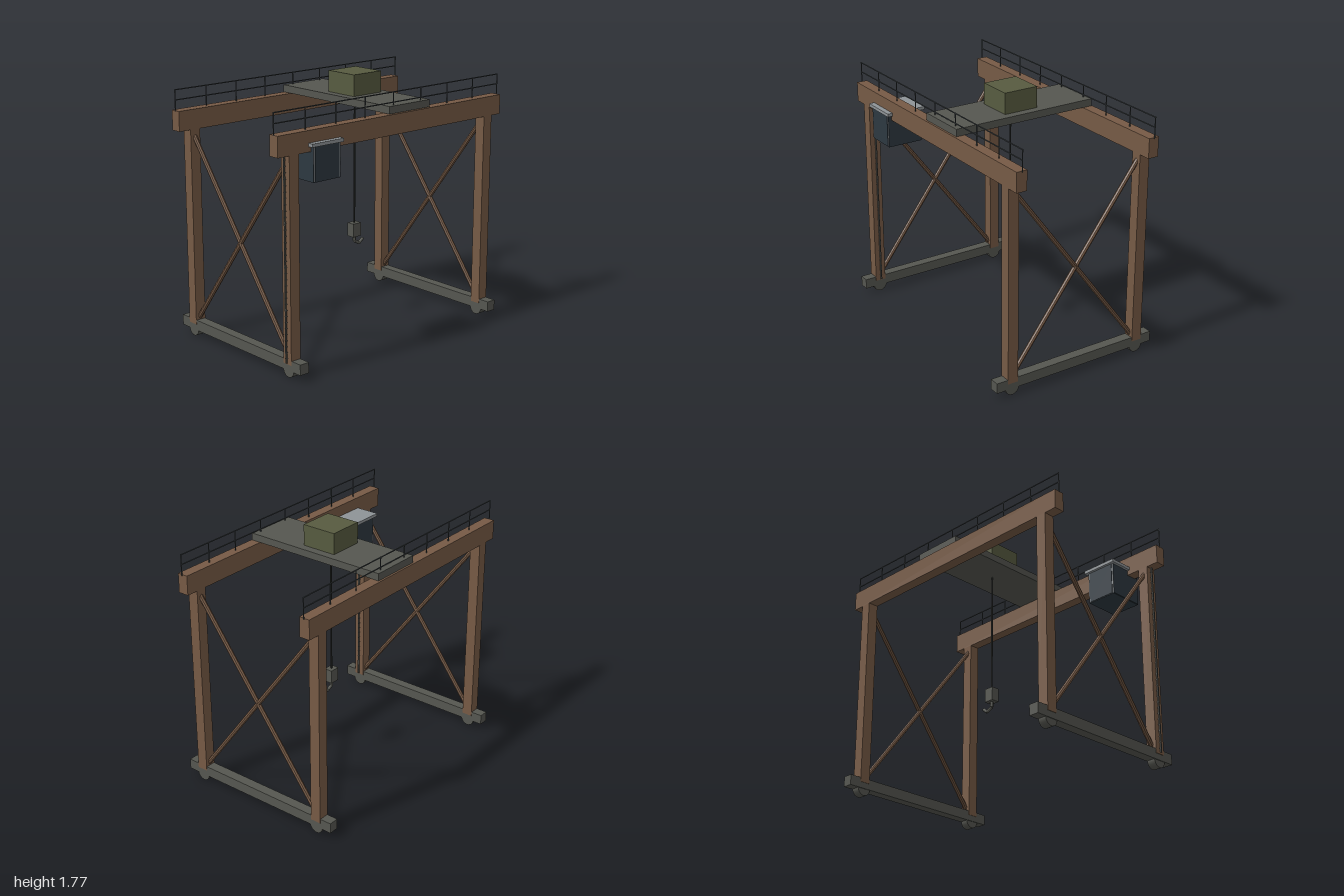
import * as THREE from 'three';

const mat = (name, color, flat = false) => {
  const m = new THREE.MeshStandardMaterial({ color, flatShading: flat });
  m.name = name;
  return m;
};

export function createModel() {
  const crane = new THREE.Group();
  crane.name = 'gantryCrane';

  const brown = mat('brown paint', 0x765a45, true);
  const steel = mat('dark steel', 0x555650);
  const olive = mat('olive housing', 0x575b40);
  const glass = mat('dark glass', 0x2d3840);
  const grey = mat('light grey', 0x8e9396);
  const rail = mat('railing steel', 0x3f4547);
  const rope = mat('rope', 0x2c2f2c);

  const group = (name) => {
    const g = new THREE.Group();
    g.name = name;
    crane.add(g);
    return g;
  };
  const add = (parent, name, geometry, material, x = 0, y = 0, z = 0) => {
    const m = new THREE.Mesh(geometry, material);
    m.name = name;
    m.position.set(x, y, z);
    parent.add(m);
    return m;
  };
  // Box given by its lower and upper limits on each axis
  const box = (parent, name, material, [x0, x1], [y0, y1], [z0, z1]) =>
    add(parent, name, new THREE.BoxGeometry(x1 - x0, y1 - y0, z1 - z0), material,
      (x0 + x1) / 2, (y0 + y1) / 2, (z0 + z1) / 2);
  // Round bar between two points
  const bar = (parent, name, material, a, b, r, sides = 6) => {
    const p = new THREE.Vector3(...a), q = new THREE.Vector3(...b);
    const d = q.clone().sub(p);
    const m = add(parent, name, new THREE.CylinderGeometry(r, r, d.length(), sides), material);
    m.position.copy(p).add(q).multiplyScalar(0.5);
    m.quaternion.setFromUnitVectors(new THREE.Vector3(0, 1, 0), d.normalize());
    return m;
  };

  // Side frames: sill, wheels, legs and cross braces
  for (const x of [-0.87, 0.87]) {
    const frame = group(x > 0 ? 'leftFrame' : 'rightFrame');
    box(frame, 'sill', steel, [x - 0.035, x + 0.035], [0.048, 0.12], [-0.62, 0.62]);
    for (const z of [-0.5, 0.5]) {
      box(frame, 'leg', brown, [x - 0.038, x + 0.038], [0.09, 1.44], [z - 0.038, z + 0.038]);
      const wheel = add(frame, 'wheel', new THREE.CylinderGeometry(0.05, 0.05, 0.06, 20), steel, x, 0.05, z);
      wheel.rotation.z = Math.PI / 2;
      bar(frame, 'brace', brown, [x, 0.1, z], [x, 1.43, -z], 0.016, 8);
    }
  }

  // Girders with a walkway railing on each
  for (const z of [-0.5, 0.5]) {
    const side = group(z > 0 ? 'frontGirder' : 'backGirder');
    box(side, 'girder', brown, [-0.997, 0.991], [1.44, 1.575], [z - 0.038, z + 0.038]);
    for (const y of [1.645, 1.712]) {
      bar(side, 'handrail', rail, [-0.997, y, z], [0.997, y, z], 0.004);
    }
    for (let i = 0; i < 9; i++) {
      const x = (i - 4) * 0.249;
      bar(side, 'railPost', rail, [x, 1.57, z], [x, 1.715, z], 0.004);
    }
  }

  // Ladder around the front leg below the cabin
  const ladder = group('ladder');
  for (const x of [-0.917, -0.823]) {
    box(ladder, 'ladderRail', steel, [x - 0.004, x + 0.004], [0.1, 1.44], [0.495, 0.505]);
  }
  for (let i = 0; i < 33; i++) {
    const y = 0.13 + i * 0.04;
    bar(ladder, 'rung', rail, [-0.922, y, 0.5], [-0.818, y, 0.5], 0.005);
  }

  // Trolley
  const trolley = group('trolley');
  box(trolley, 'trolleyDeck', steel, [-0.06, 0.305], [1.578, 1.628], [-0.528, 0.528]);
  box(trolley, 'winchHousing', olive, [0, 0.248], [1.628, 1.773], [-0.125, 0.125]);

  // Hoist rope, block and hook
  const hoist = group('hoist');
  bar(hoist, 'hoistRope', rope, [0.124, 0.7, 0], [0.124, 1.6, 0], 0.006, 8);
  box(hoist, 'hookBlock', steel, [0.088, 0.16], [0.615, 0.71], [-0.03, 0.03]);
  const hookPoints = [[0.124, 0.62], [0.124, 0.578], [0.168, 0.555], [0.203, 0.583]];
  for (let i = 0; i < 3; i++) {
    bar(hoist, 'hook', steel, [...hookPoints[i], 0], [...hookPoints[i + 1], 0], 0.011, 8);
  }

  // Operator cabin: grey shell with dark panes
  const cabin = group('cabin');
  box(cabin, 'cabinShell', grey, [-0.734, -0.516], [1.252, 1.48], [0.31, 0.562]);
  box(cabin, 'frontPane', glass, [-0.724, -0.526], [1.252, 1.474], [0.56, 0.566]);
  box(cabin, 'backPane', glass, [-0.724, -0.526], [1.252, 1.474], [0.306, 0.312]);
  for (const x of [-0.734, -0.516]) {
    box(cabin, 'sidePane', glass, [x - 0.002, x + 0.002], [1.252, 1.474], [0.31, 0.562]);
  }
  box(cabin, 'cabinFloor', glass, [-0.734, -0.516], [1.248, 1.253], [0.31, 0.562]);
  box(cabin, 'cabinRoof', grey, [-0.755, -0.497], [1.474, 1.496], [0.288, 0.575]);

  return crane;
}
